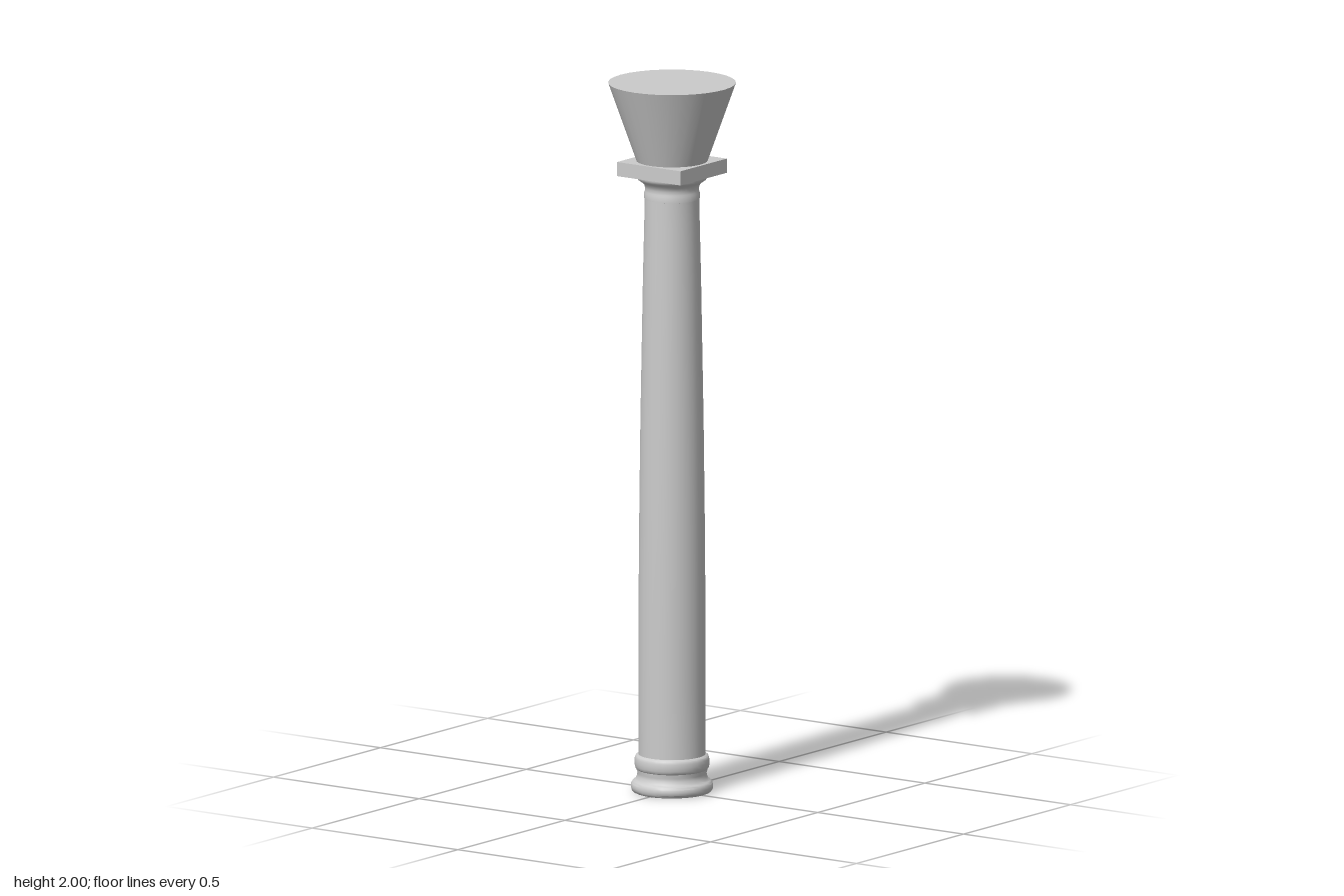
import * as THREE from 'three';
import { toCreasedNormals } from 'three/addons/utils/BufferGeometryUtils.js';

const SIDES = 32;

export function createModel() {
  const group = new THREE.Group();
  const material = new THREE.MeshStandardMaterial({ color: 0xcccccc });

  const add = (name, geometry, y = 0) => {
    const mesh = new THREE.Mesh(geometry, material);
    mesh.name = name;
    mesh.position.y = y;
    group.add(mesh);
  };
  // Profiles are [radius, height] pairs from bottom to top
  const turned = (profile, crease = 0.7) => toCreasedNormals(
    new THREE.LatheGeometry(profile.map(([r, y]) => new THREE.Vector2(r, y)), SIDES), crease);

  // Half-round moulding bulging from an inner radius
  const bead = (r, y0, y1, bulge, steps = 6) => Array.from({ length: steps + 1 }, (_, i) => {
    const t = i / steps;
    return [r + bulge * Math.sin(Math.PI * t), y0 + (y1 - y0) * (1 - Math.cos(Math.PI * t)) / 2];
  });

  // Base: large lower torus, hollow, smaller upper torus
  add('base', turned([
    [0, 0],
    ...bead(0.105, 0, 0.032, 0.009),
    [0.101, 0.036], [0.097, 0.045], [0.096, 0.053], [0.098, 0.06],
    ...bead(0.098, 0.064, 0.104, 0.006),
    [0.092, 0.106],
  ]));

  // Shaft with a gentle swelling and taper
  add('shaft', turned([
    [0.093, 0.1], [0.093, 0.3], [0.0925, 0.55], [0.0905, 0.8],
    [0.0875, 1.05], [0.084, 1.25], [0.0805, 1.45], [0.077, 1.6], [0.0755, 1.68],
  ]));

  // Neck ring and flaring cushion under the square slab
  add('capital', turned([
    [0.07, 1.672], [0.077, 1.674], [0.077, 1.69], [0.075, 1.695], [0.075, 1.705],
    [0.078, 1.715], [0.086, 1.722], [0.095, 1.728], [0.098, 1.735], [0.098, 1.742], [0, 1.742],
  ]));

  add('abacus', new THREE.BoxGeometry(0.217, 0.04, 0.217), 1.76);

  // Flared drum closed by a flat top
  add('flaredTop', new THREE.CylinderGeometry(0.177, 0.098, 0.222, SIDES), 1.889);

  return group;
}
